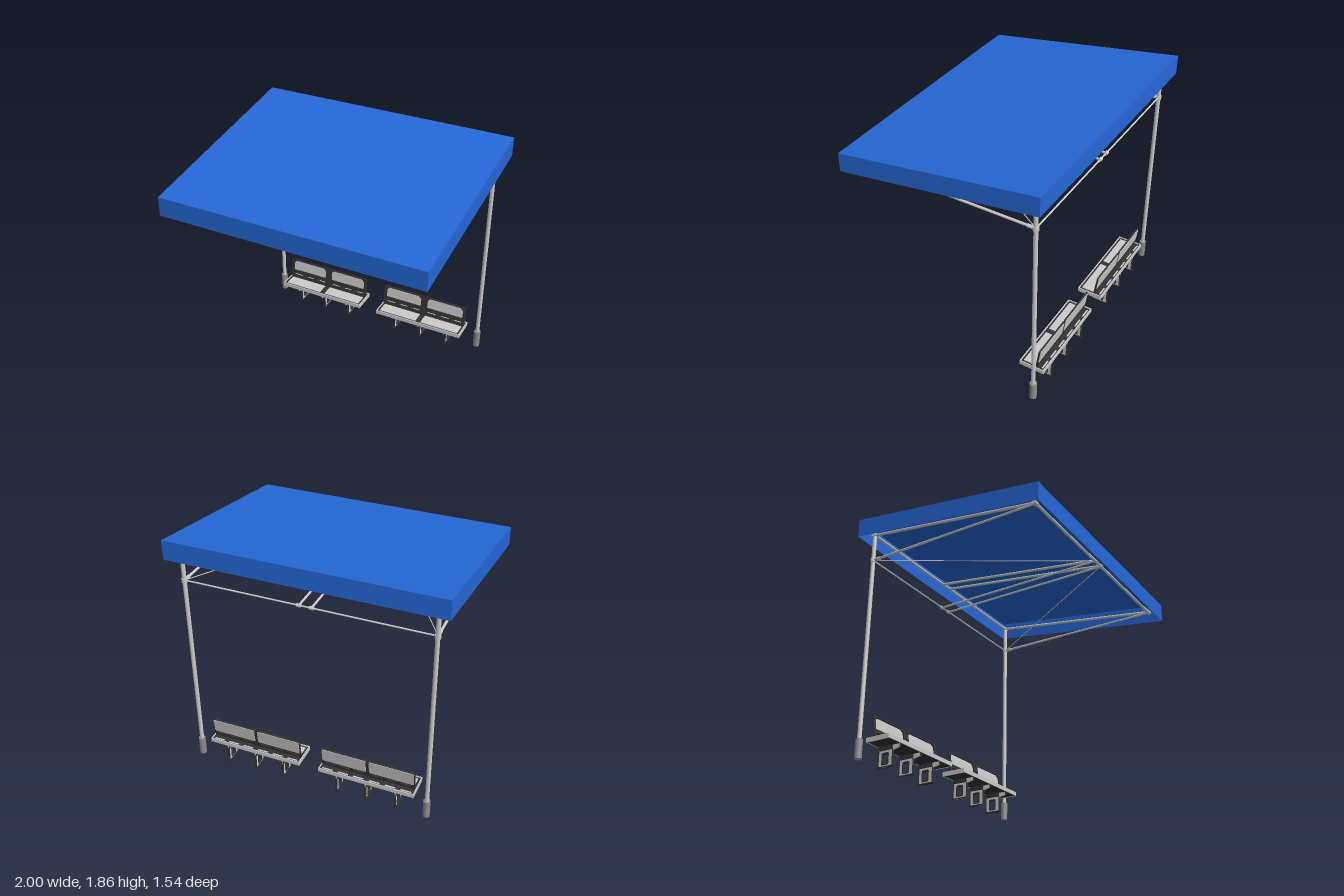
import * as THREE from 'three';

const mat = (color, side = THREE.FrontSide) => new THREE.MeshStandardMaterial({ color, side });
const steel = mat(0xcccccc);
const sleeve = mat(0x8c8c8c);
const dark = mat(0x333333);
const panel = mat(0xcccccc);
const fabric = mat(0x2668d8, THREE.DoubleSide);

const V = (x, y, z) => new THREE.Vector3(x, y, z);

function add(parent, name, geometry, material, x = 0, y = 0, z = 0) {
  const mesh = new THREE.Mesh(geometry, material);
  mesh.name = name;
  mesh.position.set(x, y, z);
  parent.add(mesh);
  return mesh;
}

function box(parent, name, w, h, d, material, x, y, z) {
  return add(parent, name, new THREE.BoxGeometry(w, h, d), material, x, y, z);
}

// Round bar between two points
function bar(parent, name, a, b, r, material = steel, sides = 16) {
  const dir = b.clone().sub(a);
  const mesh = add(parent, name, new THREE.CylinderGeometry(r, r, dir.length(), sides), material);
  mesh.position.copy(a).add(b).multiplyScalar(0.5);
  mesh.quaternion.setFromUnitVectors(V(0, 1, 0), dir.normalize());
  return mesh;
}

// Rectangle with rounded corners, usable as outline or hole
function roundRect(x0, y0, x1, y1, r, Type = THREE.Shape) {
  const s = new Type();
  s.moveTo(x0 + r, y0);
  s.lineTo(x1 - r, y0).quadraticCurveTo(x1, y0, x1, y0 + r);
  s.lineTo(x1, y1 - r).quadraticCurveTo(x1, y1, x1 - r, y1);
  s.lineTo(x0 + r, y1).quadraticCurveTo(x0, y1, x0, y1 - r);
  s.lineTo(x0, y0 + r).quadraticCurveTo(x0, y0, x0 + r, y0);
  return s;
}

// Extrusion centred on its own thickness
function plate(shape, thickness) {
  return new THREE.ExtrudeGeometry(shape, { depth: thickness, bevelEnabled: false, curveSegments: 4 })
    .translate(0, 0, -thickness / 2);
}

// Sloped cover, open underneath
function makeCanopy() {
  const p = [];
  for (const drop of [0, 0.145]) {
    p.push(-1, 1.62 - drop, 0.77, 1, 1.62 - drop, 0.77, 1, 1.855 - drop, -0.77, -1, 1.855 - drop, -0.77);
  }
  const index = [0, 1, 2, 0, 2, 3];
  for (let i = 0; i < 4; i++) {
    const j = (i + 1) % 4;
    index.push(i, i + 4, j + 4, i, j + 4, j);
  }
  let g = new THREE.BufferGeometry();
  g.setAttribute('position', new THREE.Float32BufferAttribute(p, 3));
  g.setIndex(index);
  g = g.toNonIndexed();
  g.computeVertexNormals();
  return g;
}

const BACK = -0.69, FRONT = 0.69, X = 0.905, TIE = 1.53;
const railY = (z) => 1.64 - z * 0.153;

function makeFrame() {
  const g = new THREE.Group();
  g.name = 'frame';
  const top = (x, z) => V(x, railY(z), z);

  // Posts, their foot sleeves and collars, side rails and braces
  for (const s of [-1, 1]) {
    const x = s * X;
    bar(g, 'post', V(x, 0, BACK), top(x, BACK), 0.0155, steel, 24);
    bar(g, 'postSleeve', V(x, 0, BACK), V(x, 0.14, BACK), 0.026, sleeve, 24);
    bar(g, 'postCollar', V(x, TIE - 0.016, BACK), V(x, TIE + 0.016, BACK), 0.021);
    bar(g, 'braceSocket', V(x, TIE, BACK), V(x, TIE, BACK + 0.06), 0.013);
    bar(g, 'sideRail', top(x, BACK), top(x, FRONT), 0.011);
    bar(g, 'sideBrace', V(x, TIE, BACK), V(x, TIE, FRONT), 0.008);
    bar(g, 'sideBraceSleeve', V(x, TIE, BACK), V(x, TIE, -0.12), 0.0095);
    for (const z of [BACK, FRONT]) {
      bar(g, 'cornerJoint', V(x - 0.022, railY(z), z), V(x + 0.022, railY(z), z), 0.017);
    }
    // Thin stays to the middle of the front rail
    bar(g, 'stay', V(x, TIE, BACK), V(s * 0.045, TIE, FRONT), 0.0035, steel, 8);

    // Paired middle rail and brace
    const m = s * 0.045;
    bar(g, 'middleRail', top(m, BACK), top(m, FRONT), 0.01);
    bar(g, 'middleBrace', V(m, TIE, BACK), V(m, TIE, FRONT), 0.008);
    bar(g, 'tieCollar', V(m - 0.016, TIE, BACK), V(m + 0.016, TIE, BACK), 0.013);
    bar(g, 'frontCollar', V(m - 0.016, railY(FRONT), FRONT), V(m + 0.016, railY(FRONT), FRONT), 0.015);
  }
  // Cross members
  bar(g, 'backRail', top(-X, BACK), top(X, BACK), 0.011);
  bar(g, 'frontRail', top(-X, FRONT), top(X, FRONT), 0.011);
  bar(g, 'backTie', V(-X, TIE, BACK), V(X, TIE, BACK), 0.006);
  return g;
}

// Leg with a slotted web and dark flanges; local x of the shape becomes -z
function makeLeg() {
  const g = new THREE.Group();
  g.name = 'benchLeg';
  const web = new THREE.Shape();
  [[0.585, 0], [0.705, 0], [0.705, 0.125], [0.714, 0.158], [0.52, 0.158], [0.52, 0.13], [0.585, 0.115]]
    .forEach(([a, b], i) => (i ? web.lineTo(a, b) : web.moveTo(a, b)));
  web.holes.push(roundRect(0.622, 0.022, 0.672, 0.1, 0.01, THREE.Path));
  add(g, 'legWeb', plate(web, 0.01).rotateY(Math.PI / 2), panel);
  const rim = roundRect(0.617, 0.017, 0.677, 0.105, 0.012);
  rim.holes.push(roundRect(0.624, 0.024, 0.67, 0.098, 0.009, THREE.Path));
  add(g, 'slotRim', plate(rim, 0.018).rotateY(Math.PI / 2), dark);
  for (const z of [-0.585, -0.705]) box(g, 'legFlange', 0.016, 0.12, 0.006, dark, 0, 0.06, z);
  box(g, 'armEdge', 0.014, 0.028, 0.006, dark, 0, 0.143, -0.522);
  box(g, 'topBracket', 0.028, 0.03, 0.12, dark, 0, 0.137, -0.645);
  box(g, 'foot', 0.024, 0.007, 0.13, dark, 0, 0.0035, -0.645);
  return g;
}

// One seat place: seat pan plus tilted backrest
function makePlace() {
  const g = new THREE.Group();
  g.name = 'benchPlace';
  box(g, 'seatPan', 0.362, 0.024, 0.185, dark, 0, 0.164, -0.615);
  box(g, 'seatPanel', 0.32, 0.008, 0.1, panel, 0, 0.176, -0.59);
  for (const x of [-0.12, 0, 0.12]) box(g, 'seatRearInset', 0.08, 0.006, 0.012, panel, x, 0.175, -0.692);

  // Backrest, built upright and leaned back
  const back = new THREE.Group();
  back.name = 'backrest';
  back.position.set(0, 0.17, -0.65);
  back.rotation.x = -0.14;
  const frame = roundRect(-0.177, 0.014, 0.177, 0.177, 0.012);
  const opening = new THREE.Path();
  [[-0.155, 0.077], [0.155, 0.077], [0.155, 0.145], [0.132, 0.167], [-0.132, 0.167], [-0.155, 0.145]]
    .forEach(([a, b], i) => (i ? opening.lineTo(a, b) : opening.moveTo(a, b)));
  opening.closePath();
  frame.holes.push(opening);
  for (const x of [-0.108, 0, 0.108]) {
    frame.holes.push(roundRect(x - 0.042, 0.032, x + 0.042, 0.046, 0.006, THREE.Path));
  }
  add(back, 'backrestFrame', plate(frame, 0.012), dark);
  add(back, 'backrestPanel', plate(roundRect(-0.17, 0.058, 0.17, 0.172, 0.012), 0.005), panel, 0, 0, -0.007);
  for (const x of [-0.165, 0.165]) box(back, 'backrestBracket', 0.014, 0.05, 0.016, dark, x, 0.015, 0);
  g.add(back);
  return g;
}

function makeBench(x) {
  const g = new THREE.Group();
  g.name = 'bench';
  g.position.x = x;
  for (const s of [-1, 1]) {
    const place = makePlace();
    place.position.x = s * 0.182;
    g.add(place);
    box(g, 'seatEndRail', 0.007, 0.034, 0.197, panel, s * 0.3625, 0.166, -0.6155);
  }
  box(g, 'seatFrontRail', 0.725, 0.03, 0.008, panel, 0, 0.168, -0.521);
  box(g, 'seatBackRail', 0.725, 0.03, 0.008, panel, 0, 0.166, -0.71);
  box(g, 'backrestJoiner', 0.012, 0.14, 0.014, dark, 0, 0.25, -0.661).rotation.x = -0.14;
  for (const lx of [-0.227, 0, 0.227]) {
    const leg = makeLeg();
    leg.position.x = lx;
    g.add(leg);
  }
  return g;
}

export function createModel() {
  const model = new THREE.Group();
  model.name = 'busShelter';
  add(model, 'canopy', makeCanopy(), fabric);
  model.add(makeFrame(), makeBench(-0.446), makeBench(0.441));
  return model;
}
